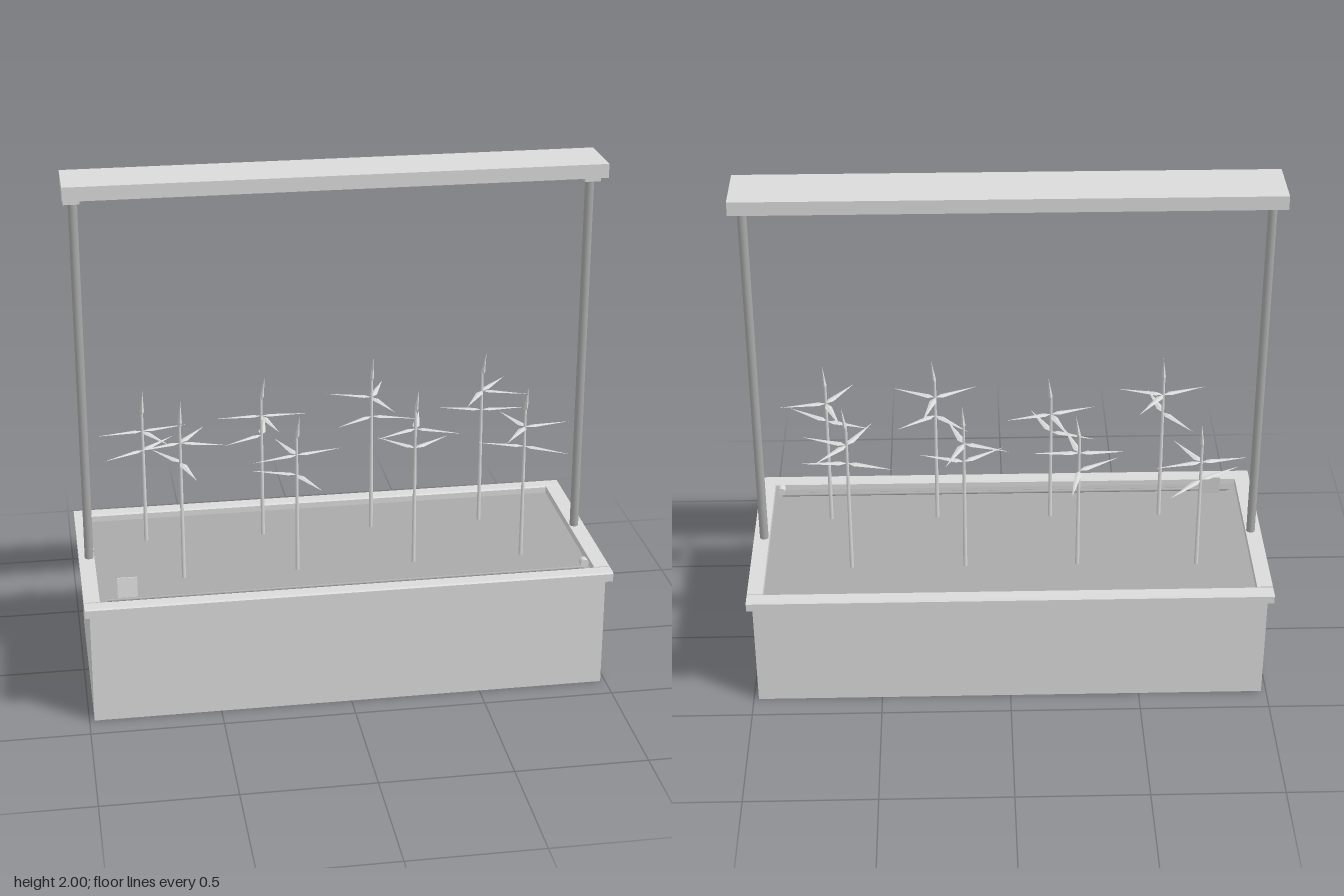
import * as THREE from 'three';

export function createModel() {
  const model = new THREE.Group();
  model.name = 'planterWithLamp';

  const mat = (name, color) => {
    const m = new THREE.MeshStandardMaterial({ color });
    m.name = name;
    return m;
  };
  const shell = mat('lightGrey', 0xdadada);
  const dark = mat('midGrey', 0xa9a9a9);

  const add = (parent, name, geo, material, x = 0, y = 0, z = 0) => {
    const mesh = new THREE.Mesh(geo, material);
    mesh.name = name;
    mesh.position.set(x, y, z);
    parent.add(mesh);
    return mesh;
  };
  const box = (parent, name, w, h, d, x, y, z, material = shell) =>
    add(parent, name, new THREE.BoxGeometry(w, h, d), material, x, y, z);

  // Trough: four thin walls, open underneath, with the soil slab near the top
  const trough = new THREE.Group();
  trough.name = 'trough';
  model.add(trough);
  for (const s of [-1, 1]) {
    box(trough, 'longWall', 1.962, 0.46, 0.002, 0, 0.23, s * 0.402);
    box(trough, 'endWall', 0.002, 0.46, 0.802, s * 0.98, 0.23, 0);
  }
  box(trough, 'soil', 1.958, 0.028, 0.802, 0, 0.444, 0, dark);

  // Rim: bevelled long rails and flat end rails
  const profile = new THREE.Shape([
    [0.382, 0.45], [0.44, 0.45], [0.44, 0.481], [0.435, 0.487], [0.387, 0.487], [0.382, 0.481],
  ].map(([z, y]) => new THREE.Vector2(z, y)));
  const rail = new THREE.ExtrudeGeometry(profile, { depth: 2, bevelEnabled: false });
  rail.translate(0, 0, -1);
  for (const s of [-1, 1]) {
    add(model, 'longRim', rail, shell).rotation.y = -s * Math.PI / 2;
    box(model, 'endRim', 0.06, 0.037, 0.764, s * 0.97, 0.4685, 0);
  }

  // Lamp bar on two posts with brackets
  box(model, 'lampBar', 2, 0.053, 0.23, 0, 1.9715, 0);
  for (const s of [-1, 1]) {
    add(model, 'post', new THREE.CylinderGeometry(0.017, 0.017, 1.43, 16), dark, s * 0.96, 1.197, 0);
    box(model, 'bracket', 0.06, 0.038, 0.06, s * 0.965, 1.927, 0);
  }

  // Watering pipe with its end valve, and a small plant tag
  const pipe = add(model, 'wateringPipe', new THREE.CylinderGeometry(0.007, 0.007, 1.82, 8), dark, 0, 0.466, 0.334);
  pipe.rotation.z = Math.PI / 2;
  const valve = add(model, 'valve', new THREE.CylinderGeometry(0.016, 0.016, 0.03, 14), shell, 0.912, 0.488, 0.335);
  valve.rotation.x = Math.PI / 2;
  box(model, 'plantTag', 0.075, 0.09, 0.005, -0.833, 0.497, 0.311).rotation.x = -0.12;

  // Slim pointed blade along +x, widest a little way out from its base
  const bladeGeometry = (length, widest, halfWidth, halfDepth) => {
    const g = new THREE.OctahedronGeometry(1);
    const p = g.attributes.position;
    for (let i = 0; i < p.count; i++) {
      const x = p.getX(i);
      const along = x > 0.5 ? length : x < -0.5 ? 0 : widest;
      p.setXYZ(i, along, p.getY(i) * halfDepth, p.getZ(i) * halfWidth);
    }
    g.computeVertexNormals();
    return g;
  };
  const leaf = bladeGeometry(0.182, 0.03, 0.014, 0.004);
  const shoot = bladeGeometry(0.11, 0.025, 0.01, 0.008);

  // Plants: x, z, height, tip lean, upper leaf angles, lower leaf angles (degrees)
  const plants = [
    [-0.727, -0.18, 1.09, 0.005, [-13, 171, 60], [-45, 150]],
    [-0.61, 0.17, 1.18, 0.005, [161, 16, 305], [76, 235]],
    [-0.265, -0.167, 1.13, 0.015, [0, 178, 75], [-79, 150]],
    [-0.173, 0.167, 1.10, 0.012, [-14, 163, 250], [66, 200]],
    [0.17, -0.17, 1.18, 0.005, [200, -67, 70], [17, 147]],
    [0.279, 0.17, 1.18, 0.012, [25, 285, 153], [-35, 225]],
    [0.61, -0.17, 1.18, 0.015, [-49, 120, 20], [196, 0]],
    [0.703, 0.17, 1.16, 0.008, [-9, 250, 125], [34, 200]],
  ];
  for (const [x, z, h, lean, upper, lower] of plants) {
    const plant = new THREE.Group();
    plant.name = 'plant';
    plant.position.set(x, 0, z);
    model.add(plant);
    const top = h - 0.09;
    add(plant, 'stem', new THREE.CylinderGeometry(0.005, 0.008, top - 0.45, 8), shell, 0, (top + 0.45) / 2, 0);
    const tip = add(plant, 'tipShoot', shoot, shell, 0, h - 0.11, 0);
    tip.rotation.z = Math.PI / 2 - lean / 0.11;
    [[upper, h - 0.165], [lower, h - 0.245]].forEach(([angles, y]) => angles.forEach((a) => {
      add(plant, 'leaf', leaf, shell, 0, y, 0).rotation.y = -a * Math.PI / 180;
    }));
  }
  return model;
}
